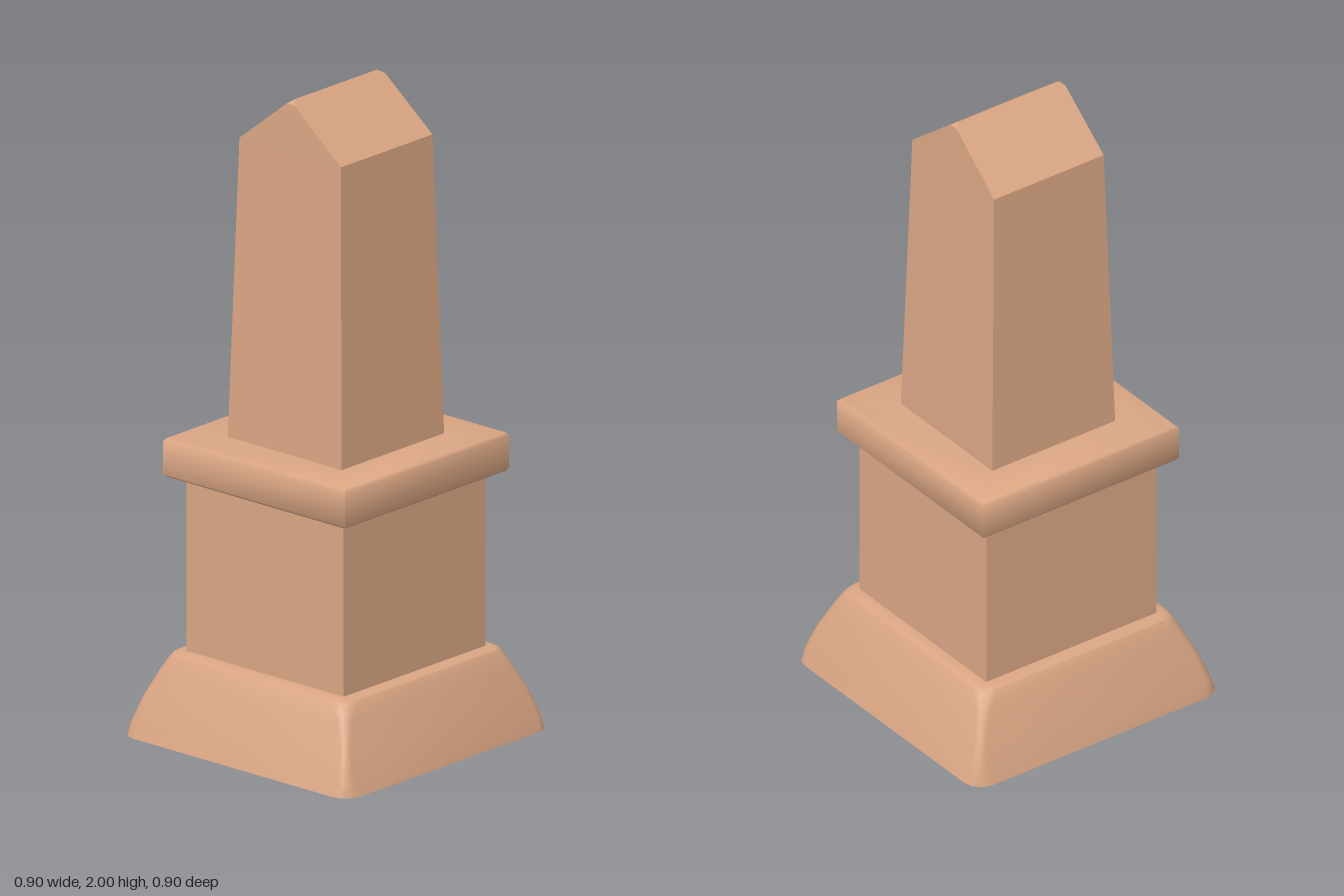
import * as THREE from 'three';
import { toCreasedNormals } from 'three/addons/utils/BufferGeometryUtils.js';

const stone = new THREE.MeshStandardMaterial({ color: 0xd9a583, side: THREE.DoubleSide });

// Square cross-section with rounded corners; segs = 0 gives sharp corners
function section(y, half, radius, segs) {
  const points = [];
  for (let corner = 0; corner < 4; corner++) {
    const mid = corner * Math.PI / 2 + Math.PI / 4;
    const cx = Math.sign(Math.cos(mid)) * (half - radius);
    const cz = Math.sign(Math.sin(mid)) * (half - radius);
    for (let i = 0; i <= segs; i++) {
      const a = (corner + (segs ? i / segs : 0)) * Math.PI / 2;
      const dx = segs ? Math.cos(a) * radius : 0;
      const dz = segs ? Math.sin(a) * radius : 0;
      points.push([cx + dx, y, cz + dz]);
    }
  }
  return points;
}

// Skin a stack of [y, half width, corner radius] sections
function loft(name, rows, segs, crease) {
  const rings = rows.map(([y, half, radius = 0]) => section(y, half, radius, segs));
  const n = rings[0].length;
  const index = [];
  for (let r = 0; r < rings.length - 1; r++) {
    for (let i = 0; i < n; i++) {
      const a = r * n + i;
      const b = r * n + (i + 1) % n;
      index.push(a, a + n, b, b, a + n, b + n);
    }
  }
  return build(name, rings.flat(), index, crease);
}

function build(name, points, index, crease) {
  const geometry = new THREE.BufferGeometry();
  geometry.setAttribute('position', new THREE.Float32BufferAttribute(points.flat(), 3));
  geometry.setIndex(index);
  const mesh = new THREE.Mesh(toCreasedNormals(geometry, crease), stone);
  mesh.name = name;
  return mesh;
}

// Gabled cap: two slopes, two end walls, with the ridge tips clipped
function createCap() {
  const points = [];
  for (const s of [1, -1]) {
    points.push(
      [-0.2, 1.84, 0.2 * s], [0.2, 1.84, 0.2 * s],
      [0.015, 1.988, 0.198 * s], [-0.015, 1.988, 0.198 * s],
      [0, 2, 0.18 * s],
    );
  }
  const index = [
    0, 1, 2, 0, 2, 3, 3, 2, 4, // front end
    6, 5, 8, 6, 8, 7, 7, 8, 9, // back end
    1, 6, 7, 1, 7, 9, 1, 9, 4, 1, 4, 2, // left slope
    5, 0, 3, 5, 3, 4, 5, 4, 9, 5, 9, 8, // right slope
  ];
  return build('gabledCap', points, index, 0.2);
}

export function createModel() {
  const group = new THREE.Group();
  group.name = 'obelisk';

  // Flared hollow foot with softened corners and lip
  group.add(loft('base', [
    [0, 0.45, 0.06], [0.04, 0.435, 0.035], [0.12, 0.405, 0.022],
    [0.2, 0.373, 0.03], [0.235, 0.36, 0.045], [0.25, 0.35, 0.045],
    [0.256, 0.335, 0.035], [0.256, 0.31, 0.004],
  ], 3, 0.6));

  group.add(loft('pedestal', [[0.256, 0.31], [0.798, 0.31]], 0, 0.5));

  // Projecting slab with bevelled edges
  group.add(loft('slab', [
    [0.795, 0.31], [0.795, 0.35], [0.804, 0.358],
    [0.906, 0.358], [0.915, 0.35], [0.915, 0.224],
  ], 0, 1));

  group.add(loft('shaft', [[0.915, 0.224], [1.84, 0.2]], 0, 0.5));
  group.add(createCap());
  return group;
}
